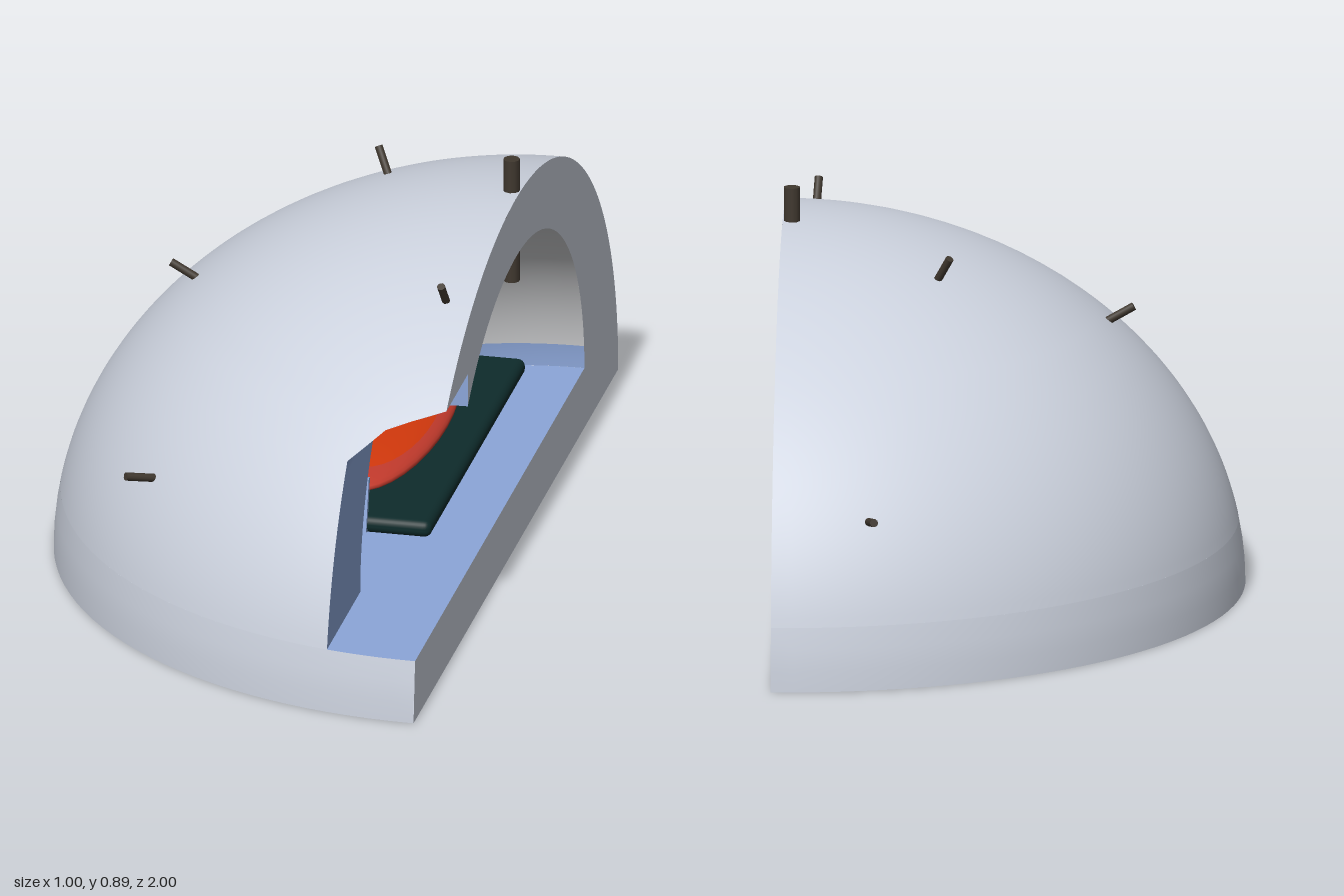
import * as THREE from 'three';
import { RoundedBoxGeometry } from 'three/addons/geometries/RoundedBoxGeometry.js';

const V = (x, y, z) => new THREE.Vector3(x, y, z);
const FLOOR = 0.14, TOP = 0.817, IN_R = 0.67, IN_H = 0.54, DOOR_TOP = 0.6, DOOR_Z = 0.47;

// Dome radii at a height, and door half-width at a height
const outR = (y) => Math.sqrt(Math.max(0, 1 - (y / TOP) ** 2));
const inR = (y) => IN_R * Math.sqrt(Math.max(0, 1 - ((y - FLOOR) / IN_H) ** 2));
const inY = (r) => FLOOR + IN_H * Math.sqrt(Math.max(0, 1 - (r / IN_R) ** 2));
const doorPts = [[0.2, FLOOR], [0.2, 0.5], [0.12, 0.565], [0, DOOR_TOP]];
function doorW(y) {
  for (let i = 0; i < 3; i++) {
    const [w0, y0] = doorPts[i], [w1, y1] = doorPts[i + 1];
    if (y <= y1) return w0 + (w1 - w0) * (y - y0) / (y1 - y0);
  }
  return 0;
}
const inDoorW = (y) => Math.min(doorW(y), Math.sqrt(Math.max(0, inR(y) ** 2 - DOOR_Z ** 2)));
const range = (a, b, n) => Array.from({ length: n + 1 }, (_, i) => a + (b - a) * i / n);

// Grid surface; pick() assigns each cell to a material slot
function grid(nu, nv, fn, flip = false, pick = () => 0) {
  const pos = [], lists = [[], []];
  for (let j = 0; j <= nv; j++) for (let i = 0; i <= nu; i++) pos.push(...fn(i / nu, j).toArray());
  for (let j = 0; j < nv; j++) for (let i = 0; i < nu; i++) {
    const a = j * (nu + 1) + i, b = a + 1, c = a + nu + 1, d = c + 1;
    const p = V(pos[3 * a], pos[3 * a + 1], pos[3 * a + 2]);
    lists[pick(p)].push(...(flip ? [a, c, b, b, c, d] : [a, b, c, b, d, c]));
  }
  const g = new THREE.BufferGeometry();
  g.setAttribute('position', new THREE.Float32BufferAttribute(pos, 3));
  g.setIndex([...lists[0], ...lists[1]]);
  g.addGroup(0, lists[0].length, 0);
  g.addGroup(lists[0].length, lists[1].length, 1);
  g.computeVertexNormals();
  return g;
}

// Half dome around the cut plane, narrowed by the doorway on the front
function halfDome(rows, radius, width, flip, pick) {
  return grid(64, rows.length - 1, (u, j) => {
    const y = rows[j], r = radius(y);
    const end = 2 * Math.PI - (r > 0.01 ? Math.asin(Math.min(1, width(y) / r)) : 0);
    const phi = Math.PI + (end - Math.PI) * u;
    return V(r * Math.sin(phi), y, r * Math.cos(phi));
  }, flip, pick);
}

export function createModel() {
  const model = new THREE.Group();
  const mat = (name, color, side = THREE.FrontSide) => {
    const m = new THREE.MeshStandardMaterial({ color, side });
    m.name = name;
    return m;
  };
  const snow = mat('snow', 0xcdd3df, THREE.DoubleSide);
  const innerSnow = mat('innerSnow', 0xcbccce, THREE.DoubleSide);
  const ice = mat('blueIce', 0x8ca6d8, THREE.DoubleSide);
  const wood = mat('darkWood', 0x40382f);
  const mattress = mat('darkGreen', 0x0e2b2b);
  const red = mat('red', 0xc23a2c);
  const orange = mat('orangeRed', 0xd2380c);

  const add = (name, geo, m, parent = model) => {
    const mesh = new THREE.Mesh(geo, m);
    mesh.name = name;
    parent.add(mesh);
    return mesh;
  };

  // Snow shelter, built around its own centre on the cut plane
  const shelter = new THREE.Group();
  shelter.name = 'shelter';
  shelter.position.x = 0.5;
  model.add(shelter);

  const upper = range(Math.asin(DOOR_TOP / TOP), Math.PI / 2, 16).map((t) => TOP * Math.sin(t));
  add('domeBase', halfDome(range(0, FLOOR, 3), outR, () => 0, false), snow, shelter);
  add('domeOutside', halfDome([...range(FLOOR, DOOR_TOP, 23), ...upper.slice(1)], outR, doorW, false), snow, shelter);

  const inRows = range(0, Math.PI / 2, 48).map((t) => FLOOR + IN_H * Math.sin(t));
  const isIce = (p) => {
    const wave = 0.02 * Math.sin(p.z * 17) + 0.01 * Math.sin(p.z * 41);
    return p.y < (p.z > 0.3 ? 0.4 : 0.18) + wave ? 1 : 0;
  };
  add('domeInside', halfDome(inRows, inR, inDoorW, true, isIce), [innerSnow, ice], shelter);

  // Doorway side and ceiling through the wall
  const passY = [...range(FLOOR, 0.5, 12), ...range(0.5, DOOR_TOP, 10).slice(1)];
  add('doorwayWall', grid(1, passY.length - 1, (u, j) => {
    const y = passY[j], w = doorW(y);
    const zi = Math.max(DOOR_Z, Math.sqrt(Math.max(0, inR(y) ** 2 - w * w)));
    const zo = Math.sqrt(outR(y) ** 2 - w * w);
    return V(-w, y, zi + (zo - zi) * u);
  }, true), ice, shelter);
  const doorH = (w) => (w > 0.12 ? 0.565 - (w - 0.12) * 0.065 / 0.08 : DOOR_TOP - w * 0.035 / 0.12);
  add('doorwayLintel', grid(12, 1, (u, j) => {
    const w = 0.2 * (1 - u);
    return V(-w, j ? doorH(w) : inY(Math.hypot(w, DOOR_Z)), DOOR_Z);
  }), ice, shelter);

  // Cut face, drawn with its first axis along -z
  const cut = [];
  for (const t of range(0, Math.PI - Math.asin(DOOR_TOP / TOP), 48)) cut.push([Math.cos(t), TOP * Math.sin(t)]);
  cut.push([-DOOR_Z, DOOR_TOP]);
  const start = Math.PI - Math.acos(DOOR_Z / IN_R);
  for (const t of range(start, 0, 40)) cut.push([IN_R * Math.cos(t), FLOOR + IN_H * Math.sin(t)]);
  cut.push([-outR(FLOOR), FLOOR], [-1, 0]);
  const cutShape = new THREE.Shape(cut.map(([a, b]) => new THREE.Vector2(a, b)));
  add('cutFace', new THREE.ShapeGeometry(cutShape).rotateY(Math.PI / 2), snow, shelter);

  // Floor (half round plus the doorway strip) and underside
  const floorPts = [];
  for (const t of range(Math.PI / 2, 3 * Math.PI / 2 - Math.asin(0.2 / IN_R), 40))
    floorPts.push(new THREE.Vector2(IN_R * Math.cos(t), IN_R * Math.sin(t)));
  for (const w of range(0.2, 0, 5)) floorPts.push(new THREE.Vector2(-w, -Math.sqrt(outR(FLOOR) ** 2 - w * w)));
  add('floor', new THREE.ShapeGeometry(new THREE.Shape(floorPts)).rotateX(-Math.PI / 2), ice, shelter)
    .position.y = FLOOR;
  add('underside', new THREE.CircleGeometry(1, 64, Math.PI / 2, Math.PI).rotateX(Math.PI / 2), snow, shelter);

  // Air-hole sticks through the wall
  const stick = (name, a, b, r) => {
    const dir = b.clone().sub(a);
    const m = add(name, new THREE.CylinderGeometry(r, r, dir.length(), 10), wood);
    m.position.copy(a).add(b).multiplyScalar(0.5);
    m.quaternion.setFromUnitVectors(V(0, 1, 0), dir.normalize());
    return m;
  };
  stick('topStick', V(0.48, 0.605, -0.047), V(0.48, 0.89, -0.047), 0.018);
  [
    [V(-0.218, 0.367, 0.65), V(-0.02, 0.307, 0.49)],
    [V(-0.258, 0.61, 0.03), V(-0.03, 0.48, 0.025)],
    [V(0.132, 0.79, -0.28), V(0.235, 0.585, -0.18)],
    [V(0.435, 0.79, 0.445), V(0.45, 0.585, 0.3)],
    [V(0.278, 0.363, -0.935), V(0.335, 0.31, -0.68)],
  ].forEach(([a, b]) => stick('ventStick', a, b, 0.009));

  // Sleeping mat and bag
  add('sleepingMat', new RoundedBoxGeometry(0.37, 0.038, 0.94, 3, 0.017), mattress).position.set(0.2, 0.161, -0.14);
  const blob = (name, m, p, s, cap = Math.PI) => {
    const o = add(name, new THREE.SphereGeometry(1, 32, 20, 0, 2 * Math.PI, 0, cap), m);
    o.position.copy(p);
    o.scale.copy(s);
    return o;
  };
  blob('sleepingBag', red, V(0.2, 0.204, -0.15), V(0.115, 0.031, 0.39));
  blob('sleepingBagTop', orange, V(0.2, 0.205, -0.12), V(0.112, 0.032, 0.34), Math.PI * 0.3);
  blob('sleepingBagHood', red, V(0.2, 0.203, -0.55), V(0.075, 0.027, 0.054));

  // Leaning backpack: an egg profile, flattened and tilted
  const pack = new THREE.Group();
  pack.name = 'backpack';
  pack.position.set(0.1, 0.145, 0.41);
  const prof = [[0, 0], [0.07, 0], [0.092, 0.03], [0.095, 0.09], [0.085, 0.16], [0.06, 0.235], [0.03, 0.275], [0, 0.285]];
  const body = new THREE.SplineCurve(prof.map(([x, y]) => new THREE.Vector2(x, y))).getPoints(28);
  body.forEach((p) => { p.x = Math.max(0, p.x); });
  add('backpackBody', new THREE.LatheGeometry(body, 28), orange, pack);
  const lid = add('backpackLid', new THREE.SphereGeometry(1, 20, 14), red, pack);
  lid.position.set(0, 0.275, 0);
  lid.scale.set(0.05, 0.025, 0.035);
  pack.rotation.x = -0.27;
  model.add(pack);

  // Shovel leaning beside the mat
  const foot = V(0.19, 0.15, 0.335), tip = V(0.19, 0.53, 0.245);
  const handle = stick('shovelHandle', foot.clone().lerp(tip, 0.15), tip, 0.009);
  const blade = add('shovelBlade', new THREE.BoxGeometry(0.11, 0.12, 0.012), ice);
  blade.position.copy(foot).lerp(tip, 0.15);
  blade.quaternion.copy(handle.quaternion);
  return model;
}
